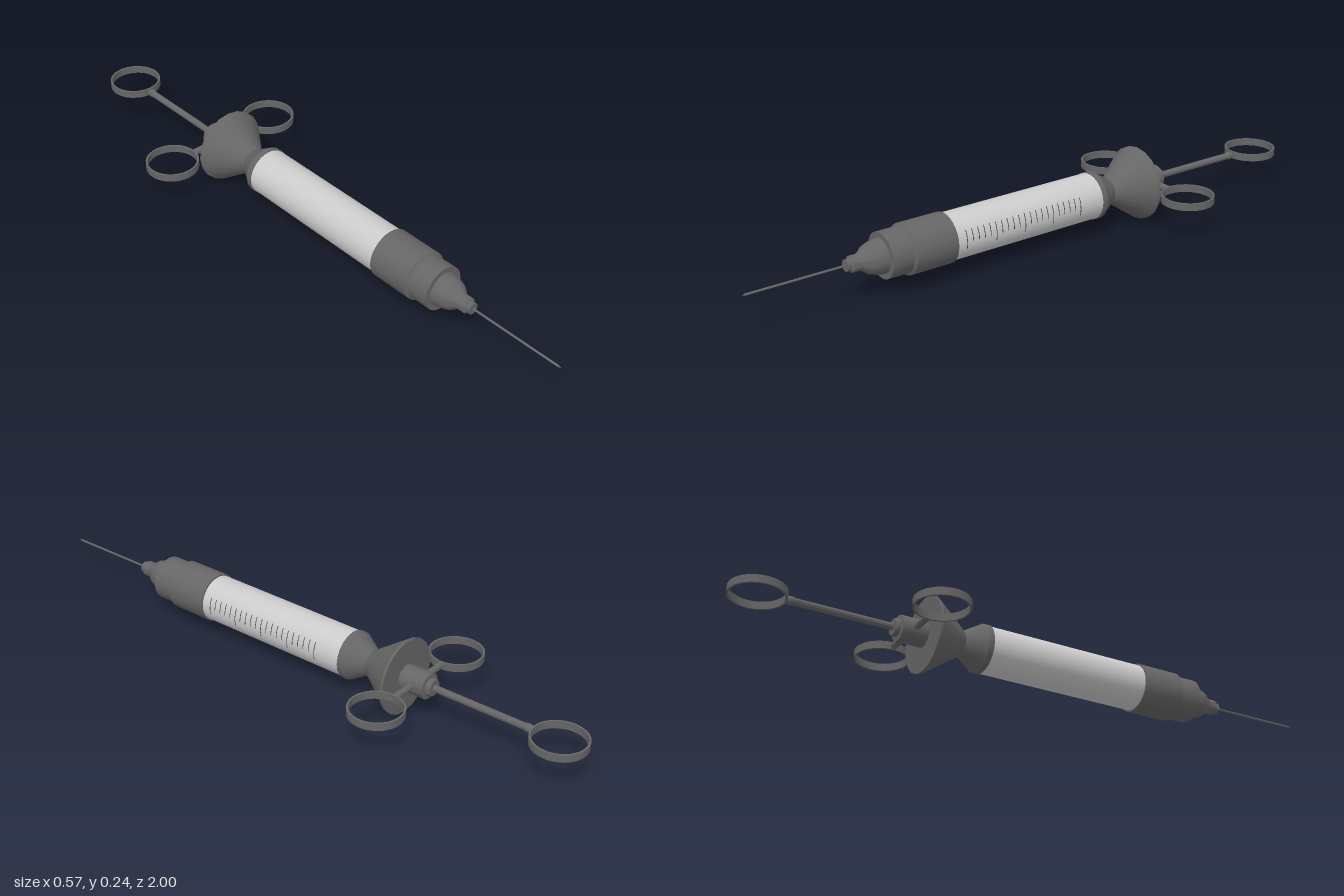
import * as THREE from 'three';
import { toCreasedNormals } from 'three/addons/utils/BufferGeometryUtils.js';

const AXIS_Y = 0.122;
const metal = new THREE.MeshStandardMaterial({ color: 0x666666 });
const glass = new THREE.MeshStandardMaterial({ color: 0xcccccc });
const ink = new THREE.MeshStandardMaterial({ color: 0x444444, side: THREE.DoubleSide });

// Solid of revolution from [radius, height] pairs, smooth around and sharp at steps
function turned(profile, segments = 20) {
  const points = profile.map(([r, h]) => new THREE.Vector2(r, h));
  return toCreasedNormals(new THREE.LatheGeometry(points, segments), 0.5);
}

export function createModel() {
  const model = new THREE.Group();
  const syringe = new THREE.Group();
  syringe.name = 'syringe';
  syringe.position.y = AXIS_Y;
  model.add(syringe);

  function add(name, geometry, material = metal, x = 0, z = 0) {
    const mesh = new THREE.Mesh(geometry, material);
    mesh.name = name;
    mesh.position.set(x, 0, z);
    syringe.add(mesh);
    return mesh;
  }
  const alongZ = (profile, segments) => turned(profile, segments).rotateX(Math.PI / 2);

  // Barrel
  add('barrel', alongZ([[0, -0.21], [0.074, -0.21], [0.074, 0.36], [0, 0.36]], 32), glass);

  // Graduation marks on the left of the barrel, every fifth one longer
  const marks = 21;
  for (let i = 0; i < marks; i++) {
    const top = THREE.MathUtils.degToRad(120);
    const span = THREE.MathUtils.degToRad(i % 5 === 0 ? 46 : 30);
    const arc = new THREE.CylinderGeometry(0.0748, 0.0748, 0.0025, 8, 1, true, top - span, span);
    add('graduationMark', arc.rotateX(Math.PI / 2), ink, 0, 0.315 - (i * 0.425) / (marks - 1));
  }

  // Front cap stepping down to the needle socket
  add('frontCap', alongZ([
    [0, 0.347], [0.079, 0.347], [0.079, 0.49], [0.071, 0.495], [0.071, 0.565],
    [0.054, 0.565], [0.05, 0.592], [0.042, 0.615], [0.029, 0.632],
    [0.025, 0.64], [0.025, 0.665], [0.018, 0.67], [0.018, 0.682], [0, 0.682],
  ], 28));
  add('needle', alongZ([[0, 0.67], [0.0035, 0.67], [0.0035, 0.99], [0, 1]], 10));

  // Rear collar, waist and flared flange
  add('flaredFlange', alongZ([
    [0, -0.4], [0.12, -0.4], [0.12, -0.392], [0.04, -0.277],
    [0.073, -0.222], [0.077, -0.217], [0.077, -0.2], [0, -0.2],
  ]));

  // Hub behind the flange
  add('hub', alongZ([
    [0, -0.5], [0.025, -0.5], [0.028, -0.495], [0.028, -0.485],
    [0.041, -0.483], [0.041, -0.395], [0, -0.395],
  ]));

  // Plunger rod with a small end ferrule
  add('plungerRod', alongZ([
    [0, -0.832], [0.009, -0.832], [0.013, -0.822], [0.013, -0.81],
    [0.011, -0.806], [0.011, -0.49], [0, -0.49],
  ], 12));

  // Thumb and finger rings, flat bands lying level
  const band = turned([
    [0.079, -0.012], [0.085, -0.012], [0.085, 0.012], [0.079, 0.012], [0.079, -0.012],
  ], 36);
  add('thumbRing', band, metal, 0, -0.915);
  for (const side of [-1, 1]) {
    add(side > 0 ? 'leftFingerRing' : 'rightFingerRing', band, metal, side * 0.2, -0.44);
    const arm = new THREE.CylinderGeometry(0.011, 0.011, 0.09, 12).rotateZ(Math.PI / 2);
    add(side > 0 ? 'leftArm' : 'rightArm', arm, metal, side * 0.073, -0.44);
  }
  return model;
}
